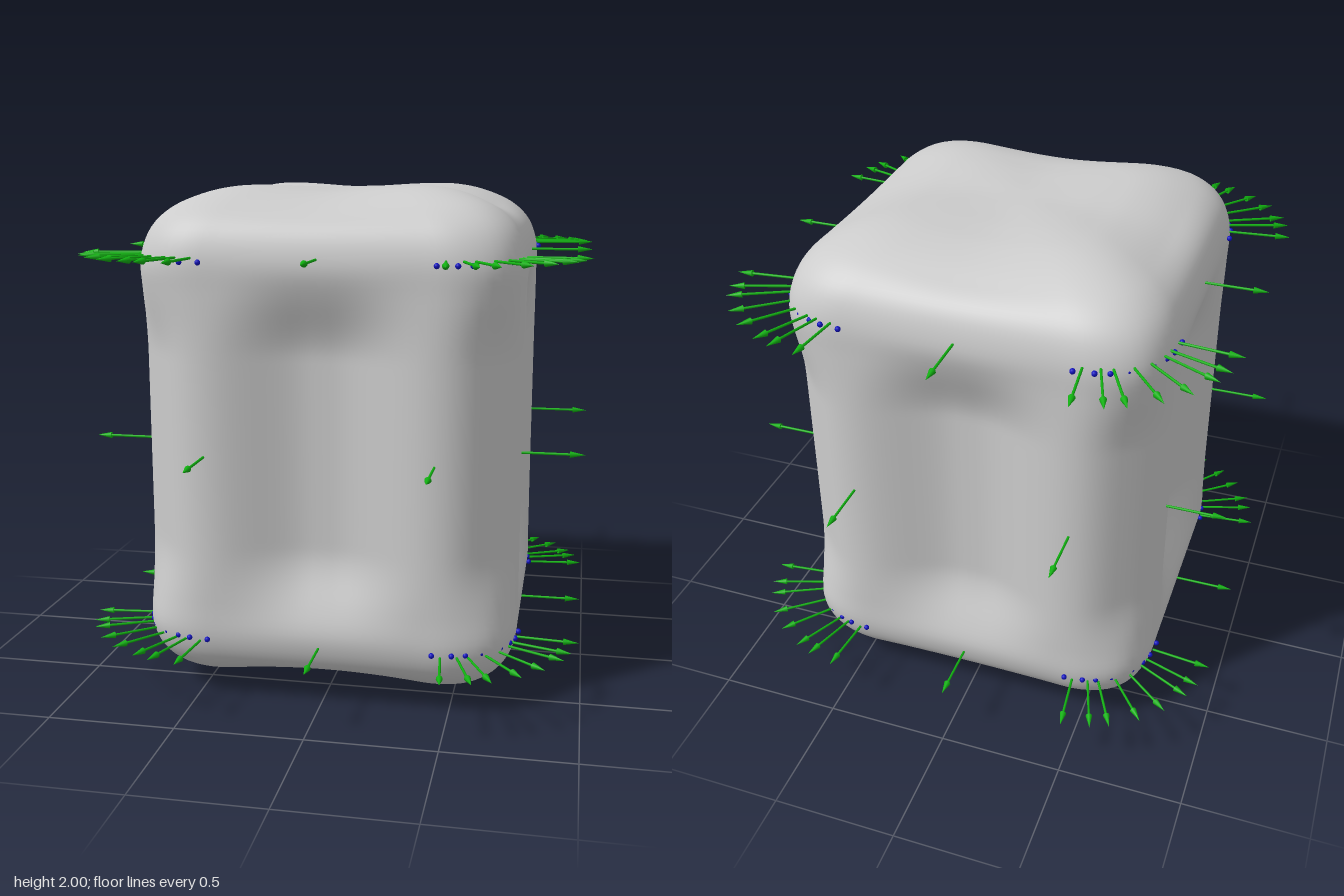
import * as THREE from 'three';

const FLAT = 0.44, RADIUS = 0.3, HALF = FLAT + RADIUS;
const LOW = 0.25, MID = 0.99, HIGH = 1.74;
const smooth = THREE.MathUtils.smoothstep;
const UP = new THREE.Vector3(0, 1, 0);

// Quarter turns about y, from the front face towards +x
function turn(x, z, k) {
  for (let i = 0; i < k; i++) [x, z] = [z, -x];
  return [x, z];
}

// Rounded-square outline, one face and one corner per quarter
function outline() {
  const pts = [];
  for (let k = 0; k < 4; k++) {
    for (let i = 0; i < 24; i++) pts.push(turn(-FLAT + (2 * FLAT * i) / 24, HALF, k));
    for (let i = 0; i < 12; i++) {
      const a = (i / 12) * Math.PI / 2;
      pts.push(turn(FLAT + RADIUS * Math.sin(a), FLAT + RADIUS * Math.cos(a), k));
    }
  }
  return pts;
}

// Soft block: the outline is swept down a profile, then hollowed between the corners
function bodyGeometry() {
  const profile = new THREE.CatmullRomCurve3([
    [0, 1.988], [0.2, 1.99], [0.4, 1.997], [0.56, 1.995], [0.71, 1.97], [0.86, 1.915],
    [0.95, 1.84], [0.995, 1.74], [1, 1.6], [1, 1.3], [1, 1], [1, 0.7], [1, 0.4],
    [0.995, 0.25], [0.95, 0.16], [0.85, 0.088], [0.66, 0.05], [0.55, 0.075],
    [0.45, 0.15], [0.37, 0.23], [0.3, 0.265], [0.18, 0.28], [0, 0.285],
  ].map(([s, y]) => new THREE.Vector3(s, y, 0)));
  const rows = profile.getSpacedPoints(140);
  const ring = outline(), n = ring.length;
  const pos = [], index = [];

  rows.forEach(({ x: s, y }, r) => {
    const wall = smooth(y, 0.27, 0.62) * (1 - smooth(y, 1.36, 1.715));
    const pit = y < 0.5 ? 1 - smooth(s, 0.4, 0.8) : 0;
    const rim = smooth(s, 0.05, 0.7) * (1 - smooth(s, 0.78, 1));
    ring.forEach(([px, pz], j) => {
      const ax = Math.abs(px), az = Math.abs(pz);
      const t = Math.min(ax, az) / Math.max(ax, az);
      const hollow = 1 - smooth(t, 0.05, 0.57);
      // corners swell at the caps and pinch between them; the pit becomes round
      const corner = 1.004 + smooth(t, 0.55, 1) * (0.024 - 0.055 * wall);
      const k = s * THREE.MathUtils.lerp(corner, HALF / Math.hypot(px, pz), pit);
      let x = px * k, z = pz * k;
      const dent = 0.1 * wall * hollow;
      if (ax > az) x -= Math.sign(px) * dent; else z -= Math.sign(pz) * dent;
      // rims sink softly between the corners
      const sink = rim * (1 - smooth(t, 0, 0.95));
      pos.push(x, y + sink * (y > 1 ? -0.03 : 0.05), z);
      if (r < rows.length - 1) {
        const a = r * n + j, d = r * n + (j + 1) % n;
        index.push(a, a + n, d + n, a, d + n, d);
      }
    });
  });

  const g = new THREE.BufferGeometry();
  g.setAttribute('position', new THREE.Float32BufferAttribute(pos, 3));
  g.setIndex(index);
  g.computeVertexNormals();
  return g;
}

export function createModel() {
  const model = new THREE.Group();
  const grey = new THREE.MeshStandardMaterial({ color: 0xcccccc });
  const green = new THREE.MeshStandardMaterial({ color: 0x10b010 });
  const blue = new THREE.MeshStandardMaterial({ color: 0x1010c0 });

  const body = new THREE.Mesh(bodyGeometry(), grey);
  body.name = 'body';
  model.add(body);

  const shaftGeo = new THREE.CylinderGeometry(0.005, 0.005, 0.19, 8).translate(0, 0.095, 0);
  const headGeo = new THREE.ConeGeometry(0.013, 0.06, 10).translate(0, 0.215, 0);
  const dotGeo = new THREE.SphereGeometry(0.011, 10, 8);

  const arrows = new THREE.Group();
  arrows.name = 'normalArrows';
  const dots = new THREE.Group();
  dots.name = 'pointMarkers';
  model.add(arrows, dots);

  function addArrow(x, y, z, dx, dy, dz) {
    const arrow = new THREE.Group();
    arrow.name = 'arrow';
    const shaft = new THREE.Mesh(shaftGeo, green);
    shaft.name = 'arrowShaft';
    const head = new THREE.Mesh(headGeo, green);
    head.name = 'arrowHead';
    arrow.add(shaft, head);
    arrow.position.set(x, y, z);
    arrow.quaternion.setFromUnitVectors(UP, new THREE.Vector3(dx, dy, dz).normalize());
    arrows.add(arrow);
  }
  function addDot(x, y, z) {
    const dot = new THREE.Mesh(dotGeo, blue);
    dot.name = 'marker';
    dot.position.set(x, y, z);
    dots.add(dot);
  }

  for (let k = 0; k < 4; k++) {
    const [nx, nz] = turn(0, 1, k);
    // wall arrows beside the corners
    for (const t of [-FLAT, FLAT]) {
      const [x, z] = turn(t, HALF, k);
      addArrow(x, MID, z, nx, 0, nz);
    }
    for (const y of [LOW, HIGH]) {
      // arrow at the middle of each edge
      addArrow(nx * HALF, y, nz * HALF, nx, 0, nz);
      // fan of arrows and markers around each corner
      for (const deg of [6, 18, 26, 39, 51, 64, 72, 84]) {
        const a = THREE.MathUtils.degToRad(deg), s = Math.sin(a), c = Math.cos(a);
        const [x, z] = turn(FLAT + (RADIUS + 0.005) * s, FLAT + (RADIUS + 0.005) * c, k);
        const [dx, dz] = turn(s, c, k);
        addArrow(x, y, z, dx, 0, dz);
      }
      for (const deg of [0, 14, 24, 36, 54, 66, 76, 90]) {
        const a = THREE.MathUtils.degToRad(deg);
        const [x, z] = turn(FLAT + (RADIUS + 0.01) * Math.sin(a), FLAT + (RADIUS + 0.01) * Math.cos(a), k);
        addDot(x, y === LOW ? 0.26 : 1.725, z);
      }
    }
  }

  // ring of arrows hanging in the underside pit
  for (let i = 0; i < 24; i++) {
    const a = ((i + 0.5) / 24) * Math.PI * 2;
    const x = 0.265 * Math.sin(a), z = 0.265 * Math.cos(a);
    addArrow(x, 0.245, z, 0, -1, 0);
    addDot(x, 0.25, z);
  }
  return model;
}
